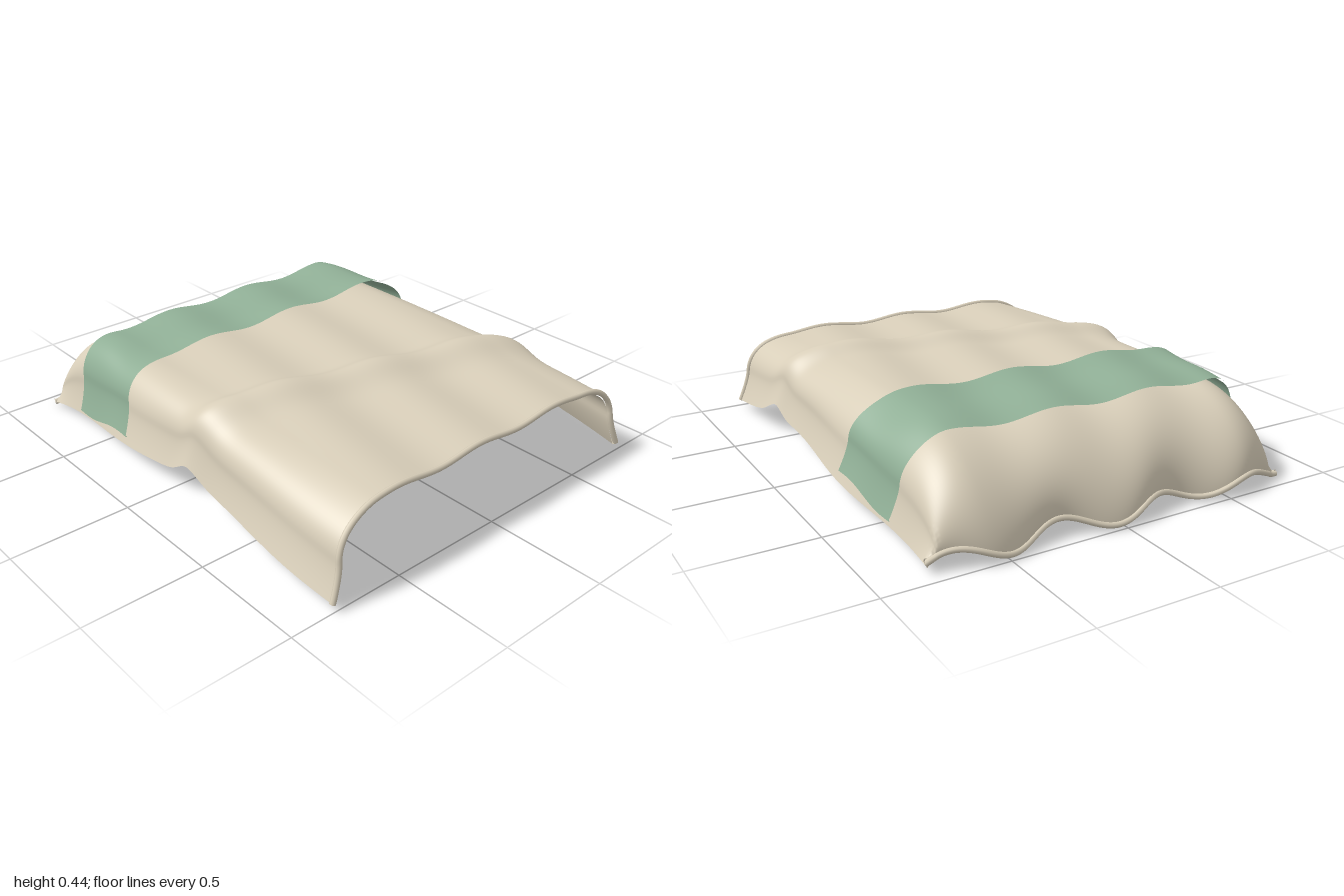
import * as THREE from 'three';
import { toCreasedNormals } from 'three/addons/utils/BufferGeometryUtils.js';

const cream = new THREE.MeshStandardMaterial({ color: 0xd8ceb9, name: 'cream cloth' });
const green = new THREE.MeshStandardMaterial({ color: 0x90af96, name: 'sage cloth' });
const { sin, cos, abs, sign, exp, max, PI } = Math;
const wave = (x, period, crest) => cos((2 * PI * (x - crest)) / period);

// Flat middle, rounded shoulders, slightly flared skirts: returns [z, height factor]
function drape(v, flat, half) {
  const t = abs(v);
  if (t < 0.55) return [(v / 0.55) * flat, 1];
  const shoulder = half - 0.04;
  if (t < 0.85) {
    const a = ((t - 0.55) / 0.3) * 0.5 * PI;
    return [sign(v) * (flat + (shoulder - flat) * sin(a)), 0.45 + 0.55 * cos(a)];
  }
  const q = (t - 0.85) / 0.15;
  return [sign(v) * (shoulder + 0.04 * q ** 1.4), 0.45 * (1 - q)];
}

// Blanket surface: u runs from foot to head, v from back (-1) to front (1)
function blanket(u, v) {
  let [z, f] = drape(v, 0.57, 0.8);
  let x, g = 1;
  if (u < 0.25) {
    const a = (1 - u / 0.25) * 0.49 * PI;
    x = -0.6 - 0.36 * sin(a);
    g = cos(a);
  } else {
    x = -0.6 + ((u - 0.25) / 0.75) * 1.55;
  }
  // Diagonal crease and the hem that rises towards it
  const ridge = 0.31 - 0.24 * z;
  const d = x - ridge;
  const bump = exp(-((d / (d < 0 ? 0.07 : 0.1)) ** 2));
  const rise = d < 0 ? (x + 0.96) / (ridge + 0.96) : (0.97 - x) / (0.97 - ridge);
  const hem = 0.025 + 0.09 * max(0, rise);
  const top = x < 0 ? 0.381 - 0.03 * x * x : 0.381 - 0.05 * x * x;
  let y = hem + (top - hem) * f * g;
  y += 0.042 * bump + 0.01 * f * g * wave(z, 0.43, 0.36 + 0.12 * x);
  // Rippled skirt at the foot and gentle waves on the long sides
  y += (1 - g) * (0.01 + 0.028 * wave(z, 0.43, 0.17));
  const zr = z;
  z += sign(z) * (1 - f) * (0.004 + 0.014 * wave(x, 1, -0.24));
  x -= (1 - g) * 0.033 * wave(zr, 0.53, 0);
  x += 0.04 * (1 - f) * max(0, (x - 0.5) / 0.45);
  return new THREE.Vector3(x, max(y, 0.013), z);
}

// Runner lying across the blanket
function runner(u, v) {
  const [z, f] = drape(v, 0.58, 0.81 + 0.02 * u);
  const low = 0.085 + 0.05 * u - 0.01 * sin(2 * PI * u);
  const top = 0.39 + 0.032 * u + 0.006 * sin(2 * PI * u);
  const y = low + (top - low) * f + 0.012 * f * wave(z, 0.44, 0.3 + 0.06 * u);
  return new THREE.Vector3(-0.7 + 0.4 * u + 0.035 * (1 - f), y, z);
}

// Closed cloth shell from a surface function, thickened inwards
function shell(fn, nu, nv, thick) {
  const pos = [], idx = [], row = nv + 1, count = (nu + 1) * row;
  for (let i = 0; i <= nu; i++)
    for (let j = 0; j <= nv; j++) pos.push(...fn(i / nu, (j / nv) * 2 - 1).toArray());
  for (let i = 0; i < nu; i++)
    for (let j = 0; j < nv; j++) {
      const a = i * row + j, b = a + 1, c = a + row, d = c + 1;
      idx.push(a, b, c, b, d, c);
    }
  const outer = new THREE.BufferGeometry();
  outer.setAttribute('position', new THREE.Float32BufferAttribute(pos, 3));
  outer.setIndex(idx);
  outer.computeVertexNormals();
  const n = outer.attributes.normal.array;
  const all = pos.concat(pos.map((p, k) => p - n[k] * thick));
  const faces = idx.slice();
  for (let k = 0; k < idx.length; k += 3)
    faces.push(idx[k] + count, idx[k + 2] + count, idx[k + 1] + count);
  // Rim between the outer and inner skins
  const rim = (a, b) => faces.push(a, a + count, b, b, a + count, b + count);
  for (let j = 0; j < nv; j++) {
    rim(j + 1, j);
    rim(nu * row + j, nu * row + j + 1);
  }
  for (let i = 0; i < nu; i++) {
    rim(i * row, (i + 1) * row);
    rim((i + 1) * row + nv, i * row + nv);
  }
  const geo = new THREE.BufferGeometry();
  geo.setAttribute('position', new THREE.Float32BufferAttribute(all, 3));
  geo.setIndex(faces);
  return toCreasedNormals(geo, PI / 4);
}

// Rolled hem across one end of the blanket
function hemTube(u) {
  const pts = [];
  for (let i = 0; i <= 80; i++) pts.push(blanket(u, i / 40 - 1));
  return new THREE.TubeGeometry(new THREE.CatmullRomCurve3(pts), 160, 0.012, 8);
}

export function createModel() {
  const group = new THREE.Group();
  group.name = 'draped blanket';
  const add = (name, geo, mat) => {
    const mesh = new THREE.Mesh(geo, mat);
    mesh.name = name;
    group.add(mesh);
  };
  add('blanket', shell(blanket, 130, 120, 0.016), cream);
  add('runner', shell(runner, 24, 120, 0.008), green);
  add('footHem', hemTube(0), cream);
  add('headHem', hemTube(1), cream);
  return group;
}
